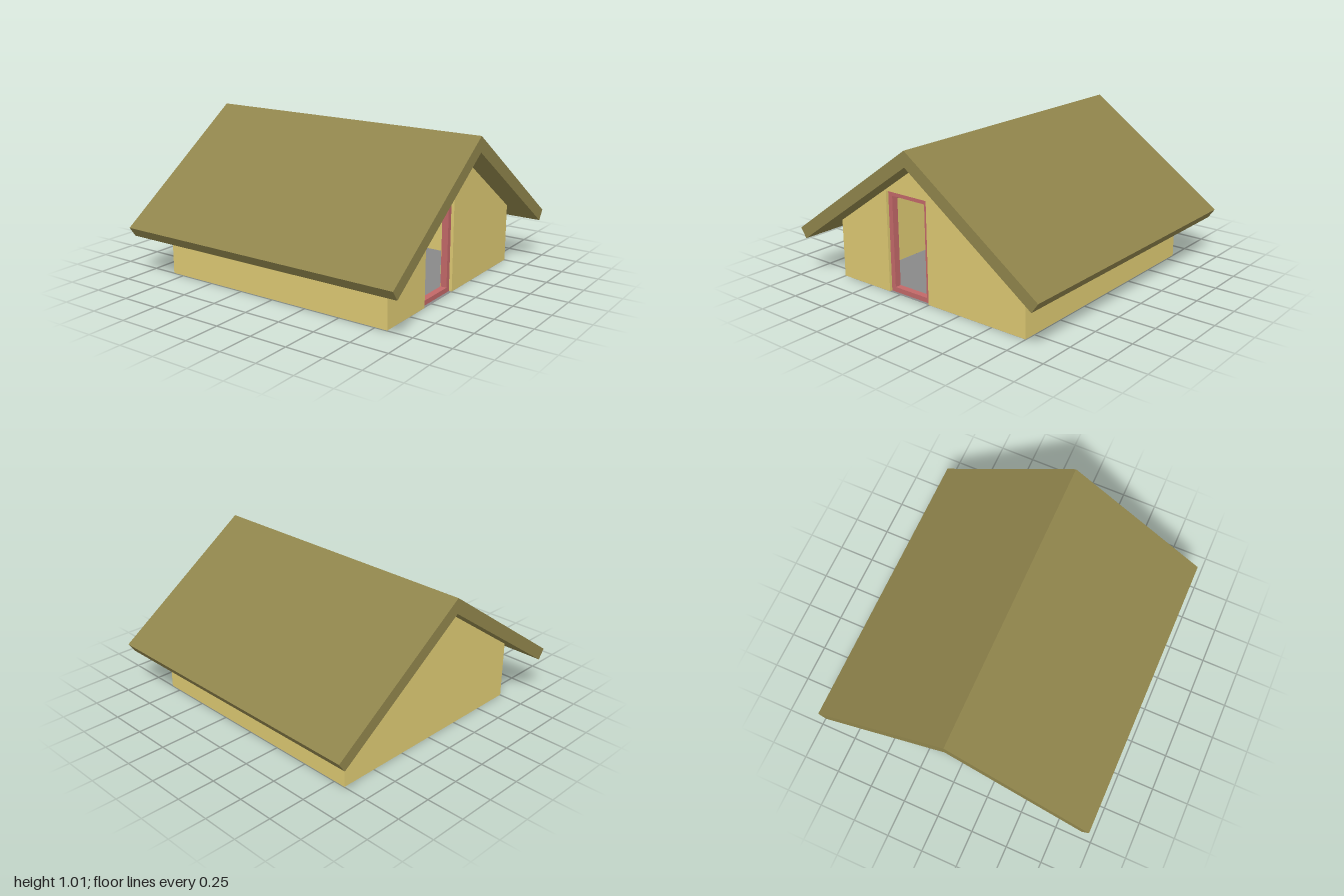
import * as THREE from 'three';

const W = 0.75;      // half width over the walls
const D = 0.833;     // half depth over the walls
const T = 0.083;     // wall thickness
const PEAK = 0.913;  // underside of the ridge
const SLOPE = 0.697;
const BASE = 0.002;  // walls sit just above the floor sheet
const DOOR = { x0: -0.335, x1: 0, top: 0.67, rail: 0.033 };

const under = (x) => PEAK - SLOPE * Math.abs(x);

function material(color) {
  return new THREE.MeshStandardMaterial({ color, flatShading: true });
}

function polygon(points) {
  return new THREE.Shape(points.map(([x, y]) => new THREE.Vector2(x, y)));
}

// Extrude an outline in x/y from z0 to z1
function slab(name, shape, z0, z1, mat) {
  const geo = new THREE.ExtrudeGeometry(shape, { depth: z1 - z0, bevelEnabled: false });
  geo.translate(0, 0, z0);
  const mesh = new THREE.Mesh(geo, mat);
  mesh.name = name;
  return mesh;
}

export function createModel() {
  const house = new THREE.Group();
  house.name = 'house';
  const wallMat = material(0xdcc872);
  const roofMat = material(0x8f844b);
  const frameMat = material(0xc26868);
  const floorMat = material(0x888888);
  floorMat.side = THREE.DoubleSide;

  // Gable walls; the front one is notched for the doorway
  const gable = [[W, BASE], [W, under(W)], [0, PEAK], [-W, under(W)], [-W, BASE]];
  const doorway = [
    [DOOR.x0, BASE], [DOOR.x0, DOOR.top], [DOOR.x1, DOOR.top], [DOOR.x1, BASE],
  ];
  house.add(slab('backWall', polygon(gable), -D, -D + T, wallMat));
  house.add(slab('frontWall', polygon([...gable, ...doorway]), D - T, D, wallMat));

  // Side walls with tops cut to the roof pitch, and the two roof slopes
  for (const [side, s] of [['left', 1], ['right', -1]]) {
    const wall = [[s * W, BASE], [s * W, under(W)], [s * (W - T), under(W - T)], [s * (W - T), BASE]];
    house.add(slab(side + 'Wall', polygon(wall), -D + T, D - T, wallMat));

    const roof = [[0, PEAK], [s * 0.918, 0.273], [s * 0.963, 0.337], [0, 1.013]];
    house.add(slab(side + 'Roof', polygon(roof), -1, 1, roofMat));
  }

  // Door frame, set back slightly in the opening
  const outer = polygon([
    [DOOR.x0, 0], [DOOR.x1, 0], [DOOR.x1, DOOR.top], [DOOR.x0, DOOR.top],
  ]);
  const r = DOOR.rail;
  outer.holes.push(polygon([
    [DOOR.x0 + r, r], [DOOR.x0 + r, DOOR.top - r], [DOOR.x1 - r, DOOR.top - r], [DOOR.x1 - r, r],
  ]));
  house.add(slab('doorFrame', outer, D - T + 0.02, D - 0.02, frameMat));

  // Thin floor sheet
  const floorGeo = new THREE.PlaneGeometry(2 * W - T, 2 * D - T);
  floorGeo.rotateX(-Math.PI / 2).translate(T / 2, 0.001, T / 2);
  const floor = new THREE.Mesh(floorGeo, floorMat);
  floor.name = 'floor';
  house.add(floor);

  return house;
}
